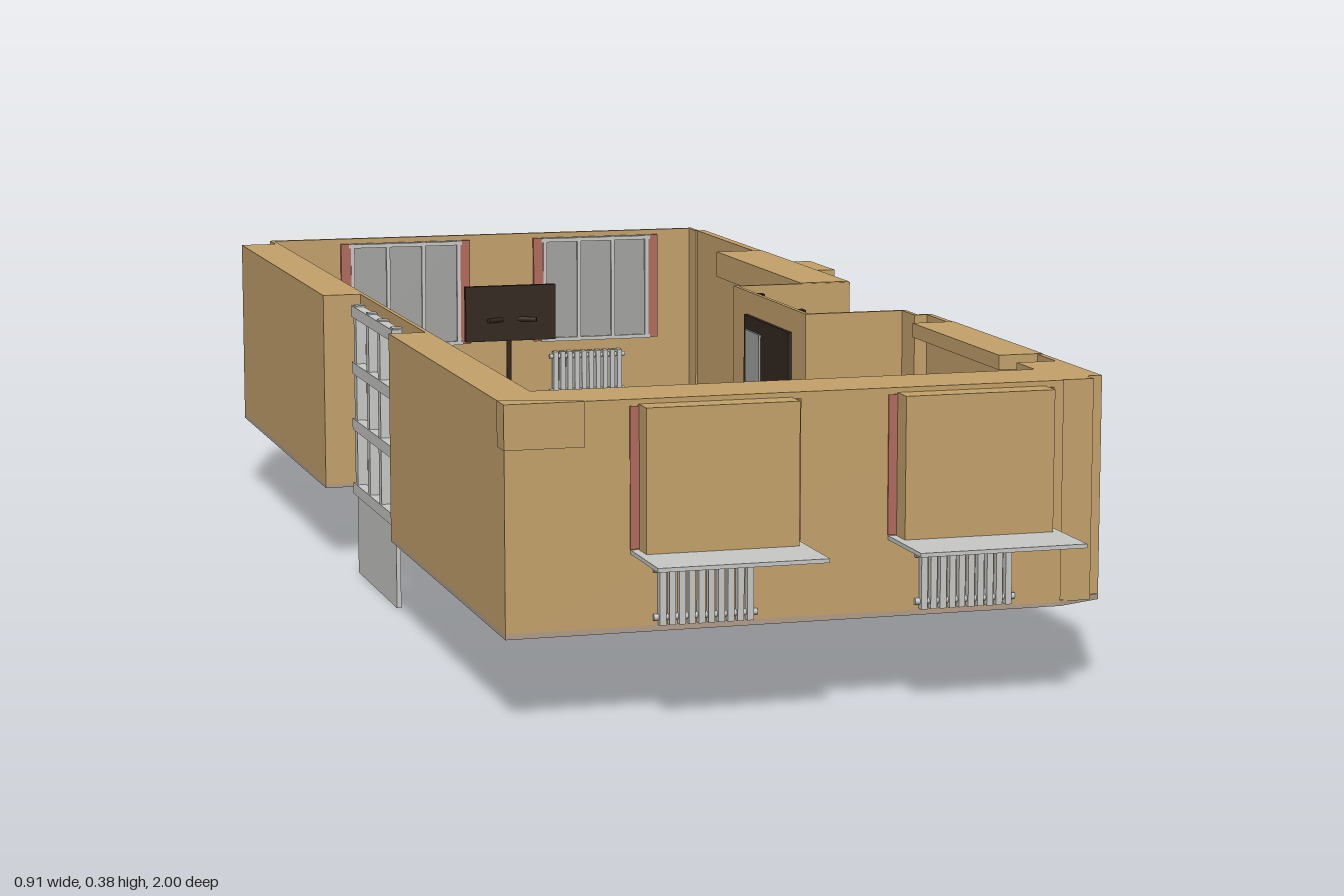
import * as THREE from 'three';

const mat = (name, color) => Object.assign(new THREE.MeshStandardMaterial({ color }), { name });

export function createModel() {
  const model = new THREE.Group();
  model.name = 'apartmentShell';
  const tan = mat('wall tan', 0xc2a06a);
  const floorMat = mat('floor beige', 0xb09c88);
  const brown = mat('door brown', 0x553322);
  const dark = mat('dark metal', 0x33271f);
  const white = mat('light grey', 0xc6c6c4);
  const grey = mat('pane grey', 0xa2a2a0);
  const red = mat('curtain red', 0xb06a5c);

  // Box given by its limits on each axis
  const box = (name, m, x0, x1, y0, y1, z0, z1, parent = model) => {
    const mesh = new THREE.Mesh(new THREE.BoxGeometry(x1 - x0, y1 - y0, z1 - z0), m);
    mesh.position.set((x0 + x1) / 2, (y0 + y1) / 2, (z0 + z1) / 2);
    mesh.name = name;
    parent.add(mesh);
    return mesh;
  };
  const rod = (name, m, r, a, b, parent = model) => {
    const p = new THREE.Vector3(...a), q = new THREE.Vector3(...b), d = q.clone().sub(p);
    const mesh = new THREE.Mesh(new THREE.CylinderGeometry(r, r, d.length(), 10), m);
    mesh.position.copy(p).add(q).multiplyScalar(0.5);
    mesh.quaternion.setFromUnitVectors(new THREE.Vector3(0, 1, 0), d.normalize());
    mesh.name = name;
    parent.add(mesh);
  };
  // Horizontal slab cut from a plan outline of [x, z] points
  const slab = (name, m, pts, y0, y1) => {
    const shape = new THREE.Shape(pts.map(([x, z]) => new THREE.Vector2(x, -z)));
    const g = new THREE.ExtrudeGeometry(shape, { depth: y1 - y0, bevelEnabled: false });
    g.rotateX(-Math.PI / 2).translate(0, y0, 0);
    const mesh = new THREE.Mesh(g, m);
    mesh.name = name;
    model.add(mesh);
  };

  const B = 0.11, T = 0.383;
  slab('floor', floorMat, [
    [-0.40, -0.885], [0.30, -0.885], [0.30, -0.845], [0.31, -0.845], [0.31, -0.11],
    [0.14, -0.11], [0.14, 0.21], [0.28, 0.21], [0.28, 0.265], [0.30, 0.265], [0.30, 0.86],
    [0.24, 0.885], [-0.455, 0.885], [-0.455, 0.25], [-0.40, 0.25], [-0.40, -0.17],
    [-0.46, -0.17], [-0.46, -0.84], [-0.40, -0.84]], B - 0.005, B + 0.002);

  // Walls: x0, x1, z0, z1
  const walls = {
    leftBackWall: [-0.46, -0.40, -0.84, -0.17],
    leftFrontWall: [-0.455, -0.40, 0.25, 0.80],
    leftEntryWall: [-0.406, -0.40, -0.17, 0.25],
    leftBackStub: [-0.406, -0.40, -0.888, -0.84],
    frontWall: [-0.455, 0.24, 0.79, 0.885],
    frontCornerInner: [0.24, 0.28, 0.73, 0.882],
    frontCornerOuter: [0.28, 0.30, 0.73, 0.86],
    rightFrontWall: [0.292, 0.30, 0.265, 0.73],
    rightFrontStep: [0.28, 0.30, 0.26, 0.266],
    rightFrontStub: [0.274, 0.28, 0.21, 0.266],
    recessFrontWall: [0.134, 0.28, 0.21, 0.216],
    recessWall: [0.134, 0.14, -0.116, 0.216],
    recessBackWall: [0.134, 0.31, -0.116, -0.11],
    rightBackWall: [0.297, 0.31, -0.845, -0.11],
    rightBackStub: [0.294, 0.30, -0.888, -0.84],
    backWall: [-0.40, 0.30, -0.888, -0.88],
  };
  for (const [name, [x0, x1, z0, z1]] of Object.entries(walls)) box(name, tan, x0, x1, B, T, z0, z1);

  // Ceiling beams along the right side
  box('rightBackBeam', tan, 0.235, 0.309, 0.345, T + 0.001, -0.53, -0.112);
  box('rightFrontBeam', tan, 0.24, 0.299, 0.365, T + 0.001, 0.35, 0.67);
  slab('cornerWedge', tan, [[-0.457, 0.858], [-0.457, 0.892], [-0.36, 0.892], [-0.36, 0.885]], 0.33, T + 0.001);

  // Cupboard bay, open on its outer side
  box('bayTop', tan, 0.31, 0.455, 0.334, 0.34, -0.73, -0.605);
  box('bayFront', tan, 0.31, 0.455, B, 0.34, -0.611, -0.605);
  box('bayBack', tan, 0.31, 0.455, B, 0.34, -0.73, -0.724);
  rod('bayKnob', dark, 0.004, [0.335, 0.21, -0.729], [0.335, 0.21, -0.738]);

  const radiator = (xc, z) => {
    const g = new THREE.Group();
    g.name = 'radiator';
    model.add(g);
    for (let i = 0; i < 10; i++) {
      const x = xc - 0.054 + i * 0.012;
      box('radiatorFin', white, x - 0.004, x + 0.004, 0.113, 0.188, z - 0.007, z + 0.007, g);
    }
    for (const y of [0.122, 0.18])
      rod('radiatorPipe', white, 0.004, [xc - 0.064, y, z], [xc + 0.064, y, z], g);
  };

  // Window: outer bay, sill, inner pane with bars and red reveals; s is the outward z sign
  const windowUnit = (x0, x1, zOut, zIn, s) => {
    const g = new THREE.Group();
    g.name = 'window';
    model.add(g);
    const zb = (name, m, a, b, y0, y1, p, q) => box(name, m, a, b, y0, y1, Math.min(p, q), Math.max(p, q), g);
    zb('windowBay', tan, x0, x1, 0.203, 0.377, zOut - s * 0.003, zOut + s * 0.032);
    zb('windowSill', white, x0 - 0.01, x1 + 0.01, 0.199, 0.204, zOut, s);
    zb('windowPane', grey, x0, x1, 0.205, 0.375, zIn, zIn - s * 0.003);
    for (const x of [x0 - 0.005, x1 + 0.005]) {
      zb('outerReveal', red, x - 0.006, x + 0.006, 0.205, 0.375, zOut, zOut + s * 0.002);
      zb('innerReveal', red, x - 0.008, x + 0.008, 0.205, 0.375, zIn, zIn - s * 0.006);
    }
    for (let i = 0; i <= 3; i++) {
      const x = x0 + 0.006 + (x1 - x0 - 0.012) * i / 3;
      zb('windowBar', white, x - 0.003, x + 0.003, 0.205, 0.375, zIn, zIn - s * 0.007);
    }
    for (const y of [0.207, 0.371])
      zb('windowRail', white, x0, x1, y - 0.003, y + 0.003, zIn, zIn - s * 0.007);
  };
  for (const [a, b] of [[-0.293, -0.105], [0.027, 0.216]]) windowUnit(a, b, 0.885, 0.79, 1);
  for (const [a, b] of [[-0.28, -0.093], [0.04, 0.225]]) windowUnit(a, b, -0.888, -0.88, -1);
  for (const x of [-0.212, 0.115]) for (const z of [0.887, 0.781, -0.868]) radiator(x, z);

  // Brown door, seen from both sides of the right wall
  box('sideDoor', brown, 0.294, 0.313, 0.115, 0.35, -0.288, -0.182);
  for (const y of [0.215, 0.255])
    rod('sideDoorKnob', white, 0.006, [0.288, y, -0.274], [0.319, y, -0.274]);

  // Dark entry door and its gate posts in the recess
  box('entryDoor', dark, 0.129, 0.135, B, 0.35, -0.05, 0.155);
  box('entryDoorGlass', grey, 0.126, 0.13, 0.22, 0.33, -0.035, 0.03);
  for (const z of [-0.04, 0.145]) box('gatePost', dark, 0.141, 0.155, 0.07, 0.38, z - 0.008, z + 0.008);
  box('gateBar', dark, 0.14, 0.154, 0.34, 0.356, -0.06, 0.168);
  rod('gateRod', dark, 0.004, [0.147, 0.075, 0.06], [0.147, 0.36, 0.06]);

  // Light door and outer lattice on the left side
  box('balconyDoor', grey, -0.401, -0.394, B, 0.36, -0.04, 0.12);
  box('balconyDoorPanel', white, -0.395, -0.392, 0.24, 0.34, -0.015, 0.095);
  box('balconyDoorBacking', tan, -0.412, -0.405, B, 0.36, -0.04, 0.12);
  rod('balconyDoorHandle', dark, 0.004, [-0.396, 0.21, -0.02], [-0.384, 0.21, -0.02]);
  for (const z of [-0.075, 0.01, 0.085, 0.17])
    box('latticePost', white, -0.434, -0.42, B, 0.38, z - 0.008, z + 0.008);
  for (const y of [0.118, 0.21, 0.29, 0.37])
    box('latticeRail', white, -0.436, -0.422, y - 0.008, y + 0.008, -0.09, 0.18);
  box('lowerPanel', white, -0.434, -0.428, 0, B, -0.07, 0.185);

  // Television on a pole with a crossed bracket
  box('television', dark, -0.10, 0.05, 0.215, 0.305, -0.832, -0.822);
  rod('televisionPole', dark, 0.004, [-0.025, 0.08, -0.836], [-0.025, 0.26, -0.836]);
  for (const s of [-1, 1])
    rod('televisionBracket', dark, 0.004, [-0.025 - s * 0.04, 0.25, -0.855], [-0.025 + s * 0.04, 0.25, -0.81]);

  return model;
}
